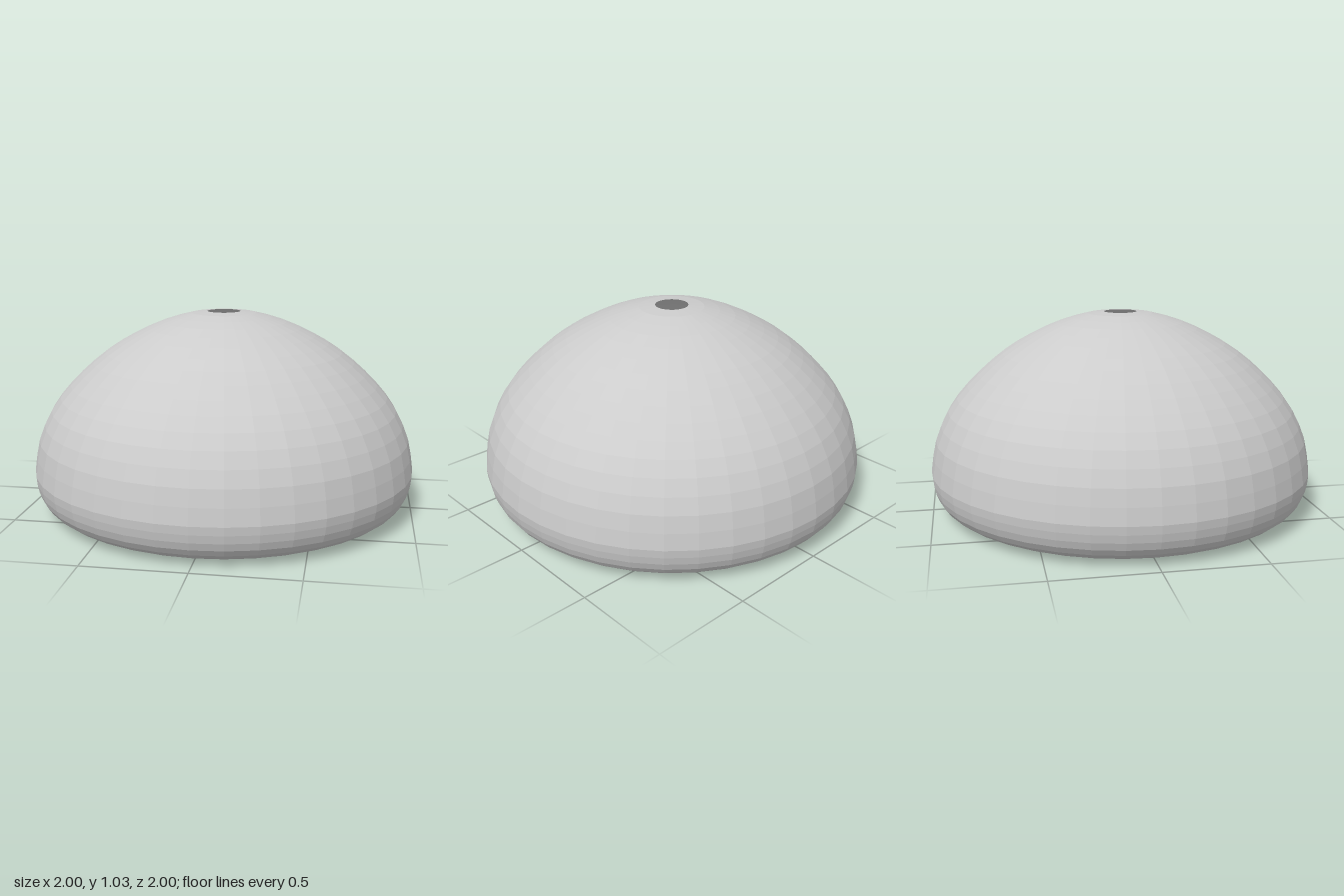
import * as THREE from 'three';

export function createModel() {
  const group = new THREE.Group();
  group.name = 'domeShade';

  // Thin open surface, seen from inside as well
  const material = new THREE.MeshStandardMaterial({
    color: 0xcccccc, flatShading: true, side: THREE.DoubleSide,
  });

  // Half profile (radius, height): rolled-in lower rim, then dome up to the top hole
  const rim = new THREE.SplineCurve([
    [0.8, 0], [0.87, 0.015], [0.93, 0.045], [0.97, 0.09], [0.992, 0.15], [1, 0.215],
  ].map(([r, y]) => new THREE.Vector2(r, y)));
  const dome = new THREE.SplineCurve([
    [1, 0.215], [0.963, 0.4], [0.855, 0.595], [0.64, 0.803],
    [0.4, 0.943], [0.2, 1.012], [0.085, 1.027],
  ].map(([r, y]) => new THREE.Vector2(r, y)));
  const profile = [...rim.getSpacedPoints(8), ...dome.getSpacedPoints(16).slice(1)];

  // Shell with an open bottom and a small round hole at the top
  const shell = new THREE.Mesh(new THREE.LatheGeometry(profile, 40), material);
  shell.name = 'shadeShell';
  group.add(shell);

  return group;
}
